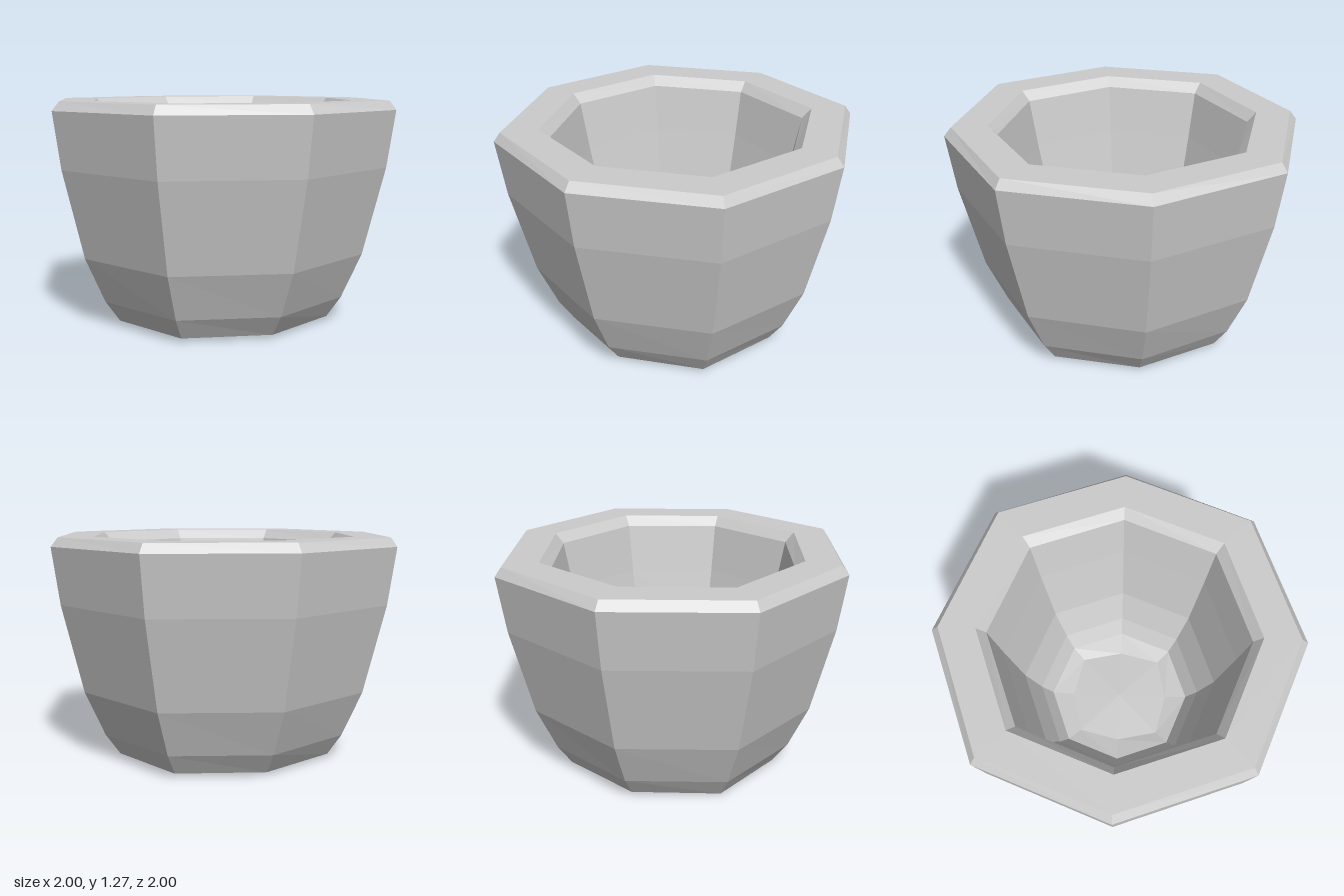
import * as THREE from 'three';

// Eight-sided thick-walled bowl, faceted
export function createModel() {
  const group = new THREE.Group();
  group.name = 'bowl';

  // [radius, height, corner stretch on the diagonals]
  const profile = [
    // underside, slightly hollow in the middle
    [0, 0.015, 1], [0.43, 0, 1.05], [0.635, 0.02, 1.04],
    // outer wall
    [0.72, 0.14, 1.03], [0.835, 0.4, 1.025], [0.955, 0.9, 1.025], [1, 1.22, 1.025],
    // bevelled rim
    [0.96, 1.27, 1.03], [0.76, 1.27, 1.03], [0.71, 1.215, 1.025],
    // inner wall
    [0.655, 0.94, 1.025], [0.57, 0.56, 1.025], [0.485, 0.36, 1.025], [0.42, 0.26, 1.025],
    // inner floor, slightly raised in the middle
    [0.29, 0.235, 1.15], [0, 0.25, 1],
  ];

  const sides = 8;
  const geometry = new THREE.LatheGeometry(profile.map(([r, y]) => new THREE.Vector2(r, y)), sides);

  // Push the diagonal corners out a little
  const pos = geometry.attributes.position;
  for (let i = 1; i < sides; i += 2) {
    profile.forEach(([, , stretch], j) => {
      const k = i * profile.length + j;
      pos.setX(k, pos.getX(k) * stretch);
      pos.setZ(k, pos.getZ(k) * stretch);
    });
  }
  geometry.computeVertexNormals();

  const material = new THREE.MeshStandardMaterial({ color: 0xcccccc, flatShading: true });
  const shell = new THREE.Mesh(geometry, material);
  shell.name = 'bowlShell';
  group.add(shell);
  return group;
}
